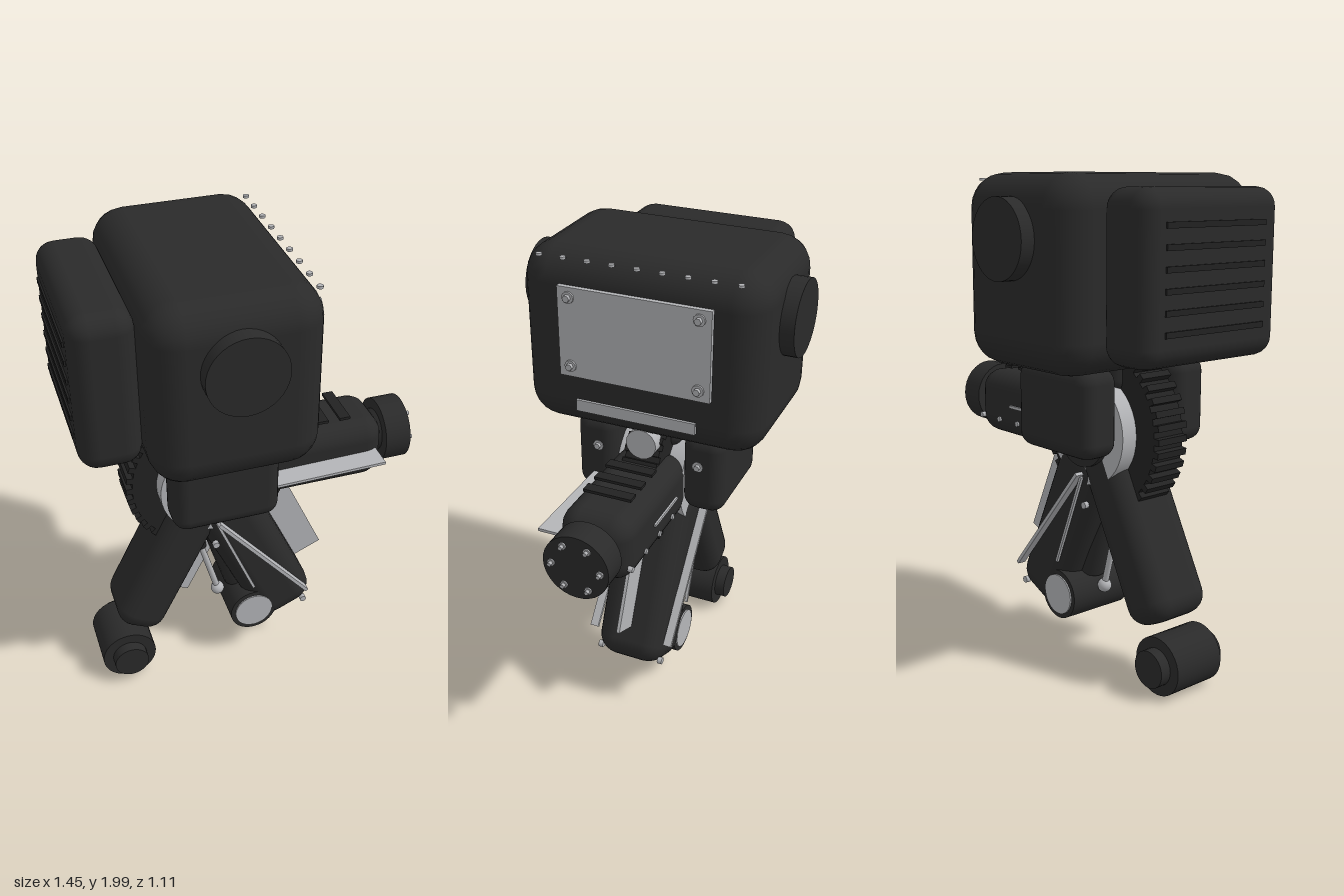
import * as THREE from 'three';
import { RoundedBoxGeometry } from 'three/addons/geometries/RoundedBoxGeometry.js';

const mat = (name, color) => {
  const m = new THREE.MeshStandardMaterial({ color });
  m.name = name;
  return m;
};

export function createModel() {
  const root = new THREE.Group();
  root.name = 'robot';
  const dark = mat('dark shell', 0x2a2a2a);
  const black = mat('black rubber', 0x222222);
  const steel = mat('pale steel', 0xb4b5b8);

  const add = (name, geo, material, x, y, z, rz = 0, parent = root) => {
    const m = new THREE.Mesh(geo, material);
    m.name = name;
    m.position.set(x, y, z);
    m.rotation.z = rz;
    parent.add(m);
    return m;
  };
  const box = (w, h, d) => new THREE.BoxGeometry(w, h, d);
  const soft = (w, h, d, r) => new RoundedBoxGeometry(w, h, d, 3, r);
  // cylinders along each axis
  const cylY = (r, h, n = 32) => new THREE.CylinderGeometry(r, r, h, n);
  const cylZ = (r, h, n = 32) => cylY(r, h, n).rotateX(Math.PI / 2);
  const cylX = (r, h, n = 32) => cylY(r, h, n).rotateZ(Math.PI / 2);
  // bar between two points of a constant-z plane
  const bar = (name, a, b, z, thick, depth, material, round = false) => {
    const dx = b[0] - a[0], dy = b[1] - a[1], len = Math.hypot(dx, dy);
    const geo = round ? cylY(thick / 2, len, 16) : box(thick, len, depth);
    return add(name, geo, material, (a[0] + b[0]) / 2, (a[1] + b[1]) / 2, z, Math.atan2(-dx, dy));
  };
  // bolt: washer and nut, facing +x or +-z
  const boltX = (x, y, z, r = 0.015) => {
    add('boltWasher', cylX(r, 0.01, 12), steel, x, y, z);
    add('boltHead', cylX(r * 0.6, 0.02, 6), steel, x + 0.01, y, z);
  };
  const boltZ = (x, y, z, r = 0.015) => add('bolt', cylZ(r, 0.02, 8), steel, x, y, z);

  // head
  add('head', soft(0.65, 0.73, 1.0, 0.13), dark, -0.158, 1.635, 0);
  add('facePlate', box(0.025, 0.365, 0.62), steel, 0.173, 1.697, 0);
  add('mouthStrip', box(0.02, 0.048, 0.5), steel, 0.168, 1.388, 0);
  for (const z of [-0.263, 0.263]) for (const y of [1.56, 1.84]) boltX(0.188, y, z, 0.024);
  for (let i = -4; i <= 4; i++) add('browRivet', cylY(0.012, 0.01, 10), steel, 0.145, 1.975, i * 0.1);
  for (const s of [-1, 1]) add('earDisc', cylZ(0.152, 0.1, 40), dark, -0.16, 1.763, s * 0.507);

  // backpack with vents
  add('backpack', soft(0.24, 0.63, 0.7, 0.075), dark, -0.598, 1.635, 0);
  for (let i = 0; i < 6; i++) add('ventRib', box(0.02, 0.022, 0.5), black, -0.715, 1.447 + i * 0.075, 0);

  // body gear and hub
  const gear = new THREE.Group();
  gear.name = 'bodyGear';
  gear.position.set(-0.17, 1.0, 0);
  root.add(gear);
  add('gearDisc', cylZ(0.32, 0.15, 48), black, 0, 0, 0, 0, gear);
  const tooth = box(0.04, 0.026, 0.15);
  for (let i = 0; i < 40; i++) {
    const a = (i / 40) * Math.PI * 2;
    add('gearTooth', tooth, black, Math.cos(a) * 0.325, Math.sin(a) * 0.325, 0, a, gear);
  }
  add('gearHub', cylZ(0.22, 0.29, 40), steel, 0, 0, 0, 0, gear);

  // neck
  add('neck', soft(0.3, 0.16, 0.22, 0.05), dark, -0.16, 1.24, 0);
  add('neckCog', cylX(0.065, 0.06, 16), steel, 0.09, 1.235, 0);

  // shoulders and hip discs, both sides
  for (const s of [-1, 1]) {
    add('shoulder', soft(0.435, 0.35, 0.18, 0.06), dark, -0.16, 1.105, s * 0.235);
    boltX(0.055, 1.15, s * 0.22, 0.022);
    add('hipDisc', cylZ(0.145, 0.03), dark, -0.165, 1.0, s * 0.155);
    for (let i = 0; i < 6; i++) {
      const a = (i / 6) * Math.PI * 2;
      boltZ(-0.165 + Math.cos(a) * 0.1, 1.0 + Math.sin(a) * 0.1, s * 0.175);
    }
  }

  // arm barrel with muzzle
  add('armBarrel', soft(0.62, 0.28, 0.3, 0.085), dark, 0.27, 1.015, 0);
  add('muzzle', cylX(0.135, 0.11), dark, 0.648, 1.022, 0);
  add('muzzleCore', cylX(0.09, 0.06), black, 0.575, 1.022, 0);
  for (let i = 0; i < 6; i++) {
    const a = (i / 6) * Math.PI * 2;
    boltX(0.704, 1.022 + Math.sin(a) * 0.1, Math.cos(a) * 0.1);
  }
  for (const x of [0.215, 0.315, 0.41]) add('topRail', box(0.046, 0.012, 0.2), black, x, 1.178, 0);
  add('armFin', box(0.52, 0.012, 0.11), steel, 0.28, 1.018, 0.19, 0.02);
  add('armTrim', box(0.22, 0.012, 0.02), steel, 0.22, 1.018, -0.148);
  for (let i = 0; i < 4; i++) boltZ(0.15 + i * 0.13, 0.95, -0.147, 0.012);

  // rear leg with roller foot
  const tiltA = -0.474;
  add('rearLeg', soft(0.22, 0.78, 0.3, 0.08), dark, -0.345, 0.625, 0, tiltA);
  add('rearFin', box(0.13, 0.45, 0.014), steel, -0.216, 0.57, 0, tiltA);
  add('rollerFoot', cylZ(0.118, 0.234, 32), dark, -0.565, 0.125, 0);
  add('rollerAxle', cylZ(0.075, 0.326, 32), dark, -0.565, 0.125, 0);

  // front leg with fin and knee wheel
  const tiltB = 0.423;
  add('frontLeg', soft(0.28, 0.78, 0.31, 0.09), dark, 0.023, 0.557, 0, tiltB);
  add('frontFin', box(0.13, 0.5, 0.014), steel, 0.203, 0.658, 0, tiltB);
  add('kneeWheel', cylZ(0.105, 0.3), dark, 0.003, 0.26, 0);
  for (const s of [-1, 1]) {
    add('kneeCap', cylZ(0.085, 0.01), steel, 0.003, 0.26, s * 0.151);
    bar('longStrut', [-0.16, 0.825], [0.24, 0.345], s * 0.172, 0.015, 0.036, steel);
    bar('shortStrut', [-0.16, 0.81], [0.0, 0.41], s * 0.16, 0.012, 0.012, steel);
    boltZ(-0.165, 0.69, s * 0.145);
    boltZ(0.24, 0.255, s * 0.14);
  }

  // piston between the legs
  bar('innerShin', [-0.15, 0.75], [-0.03, 0.35], 0, 0.12, 0, dark, true);
  bar('pistonSleeve', [-0.215, 0.75], [-0.195, 0.57], 0, 0.055, 0, black, true);
  bar('pistonRod', [-0.2, 0.6], [-0.12, 0.3], 0, 0.028, 0, steel, true);
  add('pistonBall', new THREE.SphereGeometry(0.03, 16, 12), steel, -0.12, 0.3, 0);

  return root;
}
